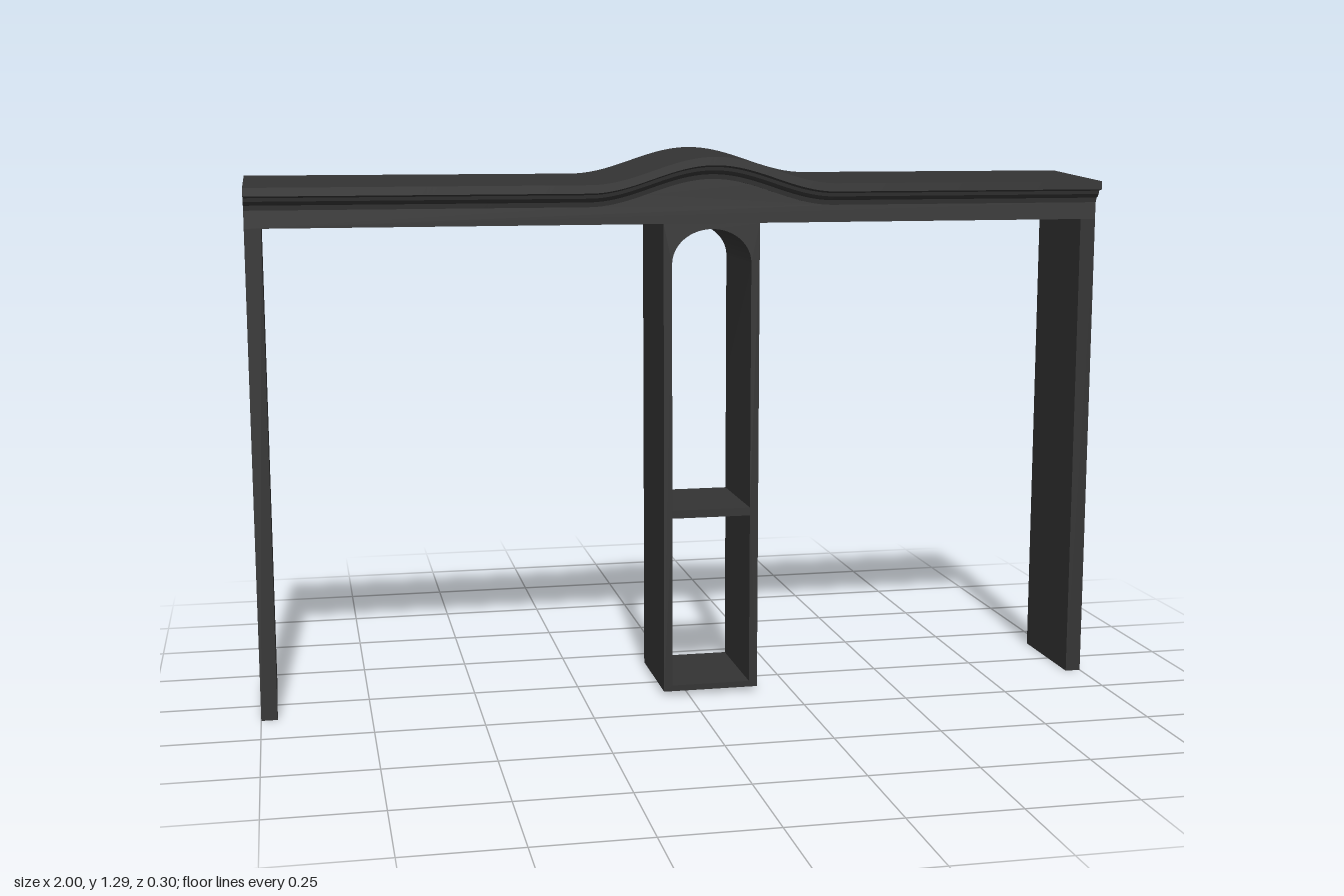
import * as THREE from 'three';
import { toCreasedNormals } from 'three/addons/utils/BufferGeometryUtils.js';

const BACK = -0.14, FRONT = 0.115, DEPTH = FRONT - BACK;
const CENTRE = 0.055;               // the tower and the hump sit slightly off centre
const UNDER = 1.123, CROWN = 1.163; // underside of the beam, foot of the crown moulding

// Height of the bell-shaped hump along the beam
function hump(x) {
  const d = Math.min(Math.abs(x - CENTRE) / 0.29, 1);
  return 0.031 * (1 + Math.cos(Math.PI * d));
}

export function createModel() {
  const group = new THREE.Group();
  const material = new THREE.MeshStandardMaterial({ color: 0x333333 });

  function add(name, geometry) {
    const mesh = new THREE.Mesh(geometry, material);
    mesh.name = name;
    group.add(mesh);
    return mesh;
  }
  function panel(shape) {
    const g = new THREE.ExtrudeGeometry(shape, { depth: DEPTH, bevelEnabled: false, curveSegments: 32 });
    g.translate(0, 0, BACK);
    return toCreasedNormals(g, 0.5);
  }
  function rectangle(path, x0, x1, y0, y1) {
    return path.moveTo(x0, y0).lineTo(x1, y0).lineTo(x1, y1).lineTo(x0, y1).closePath();
  }

  // Outer side panels
  for (const [name, side] of [['leftSidePanel', 1], ['rightSidePanel', -1]]) {
    const leg = add(name, new THREE.BoxGeometry(0.037, UNDER, DEPTH));
    leg.position.set(side * (1 - 0.0185), UNDER / 2, (FRONT + BACK) / 2);
  }

  // Beam whose top edge follows the hump
  const beam = new THREE.Shape().moveTo(-1, UNDER).lineTo(1, UNDER).lineTo(1, CROWN);
  for (let i = 0; i <= 60; i++) {
    const x = CENTRE + 0.29 - 0.58 * i / 60;
    beam.lineTo(x, CROWN + hump(x));
  }
  beam.lineTo(-1, CROWN).closePath();
  add('beam', panel(beam));

  // Open shelf tower with an arched upper bay and a square lower bay
  const tower = rectangle(new THREE.Shape(), CENTRE - 0.114, CENTRE + 0.114, 0.01, UNDER);
  const half = 0.094, spring = 1.03;
  const arch = new THREE.Path().moveTo(CENTRE - half, 0.45).lineTo(CENTRE + half, 0.45).lineTo(CENTRE + half, spring);
  arch.absellipse(CENTRE, spring, half, 0.08, 0, Math.PI, false, 0);
  arch.closePath();
  tower.holes.push(arch, rectangle(new THREE.Path(), CENTRE - half, CENTRE + half, 0.024, 0.431));
  add('shelfTower', panel(tower));

  // Crown moulding: section swept along x, then lifted over the hump.
  // Section points are [z, y].
  const section = [
    [-0.148, 1.163], [-0.148, 1.231], [0.148, 1.214], [0.148, 1.195],
    [0.133, 1.191], [0.131, 1.183], [0.126, 1.177], [0.119, 1.174], [0.117, 1.163],
  ];
  const profile = new THREE.Shape(section.map(([z, y]) => new THREE.Vector2(-z, y)));
  const crown = new THREE.ExtrudeGeometry(profile, { depth: 2, steps: 160, bevelEnabled: false });
  crown.rotateY(Math.PI / 2).translate(-1, 0, 0);
  const p = crown.attributes.position;
  for (let i = 0; i < p.count; i++) p.setY(i, p.getY(i) + hump(p.getX(i)));
  add('crownMoulding', toCreasedNormals(crown, 0.35));

  return group;
}
